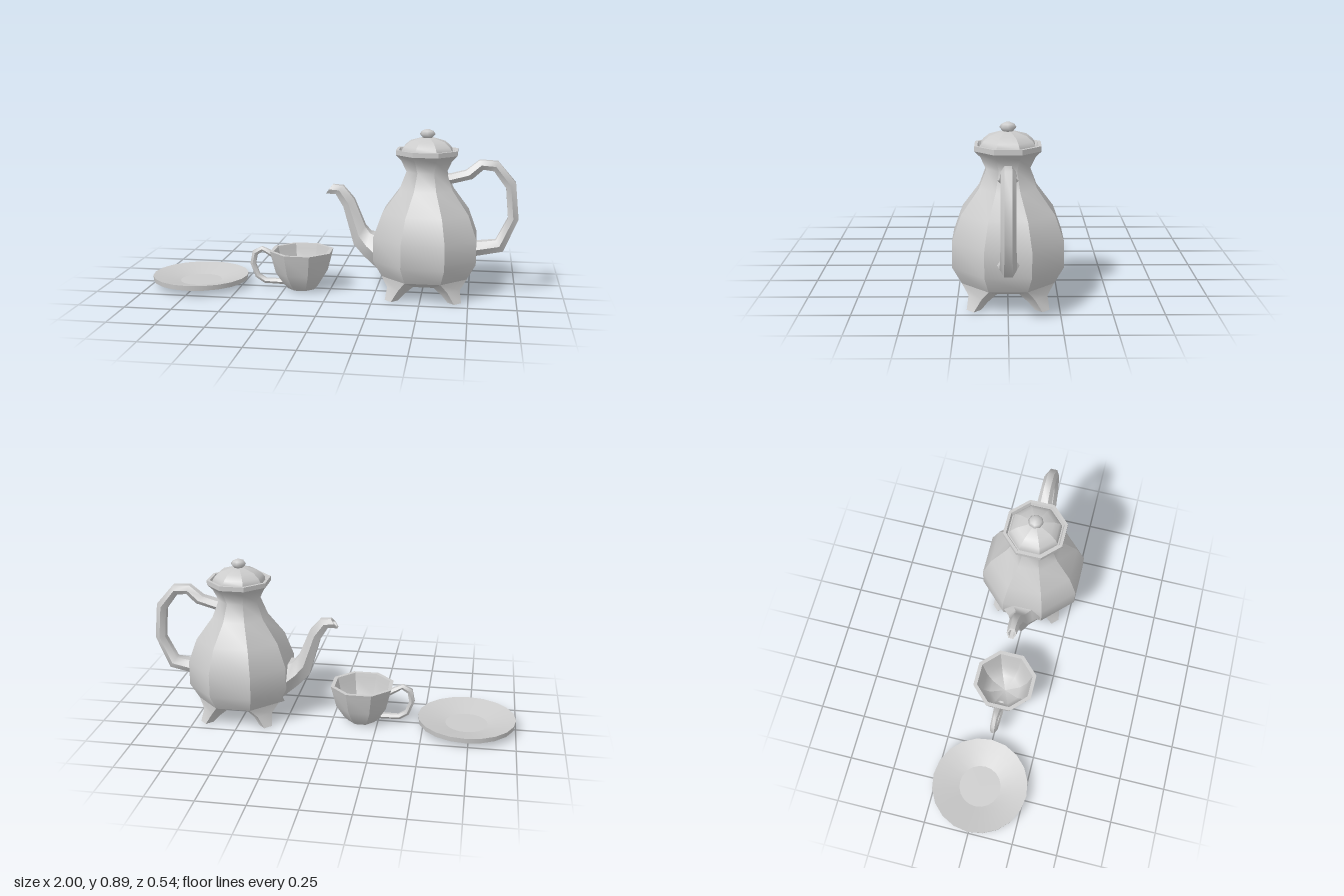
import * as THREE from 'three';
import { mergeGeometries } from 'three/addons/utils/BufferGeometryUtils.js';

const material = new THREE.MeshStandardMaterial({ color: 0xcccccc });

function mesh(name, geometry, parent) {
  const m = new THREE.Mesh(geometry, material);
  m.name = name;
  parent.add(m);
  return m;
}

// Skin over rings of [x, y, z]: smooth along the length, creased between the sides
function loft(rings) {
  const n = rings[0].length, pos = [], index = [];
  for (let j = 0; j < n; j++) {
    const base = pos.length / 3;
    rings.forEach((ring, i) => {
      pos.push(...ring[j], ...ring[(j + 1) % n]);
      if (i === 0) return;
      const a = base + 2 * (i - 1), b = a + 1, c = a + 2, d = a + 3;
      index.push(a, c, d, a, d, b);
    });
  }
  const g = new THREE.BufferGeometry();
  g.setAttribute('position', new THREE.Float32BufferAttribute(pos, 3));
  g.setIndex(index);
  g.computeVertexNormals();
  return g;
}

// Octagonal vessel from [flat radius, height] profiles; each profile starts a new crease
function octagonal(...profiles) {
  const ring = ([r, y]) => Array.from({ length: 8 }, (_, k) => {
    const a = Math.PI / 8 + k * Math.PI / 4, R = r / Math.cos(Math.PI / 8);
    return [R * Math.cos(a), y, R * Math.sin(a)];
  });
  return mergeGeometries(profiles.map(p => loft(p.map(ring))));
}

// Six-sided tube from sections [outer x, outer y, inner x, inner y, half width]
function hexTube(sections) {
  const corners = [[1, -0.5], [1, 0.5], [0, 1], [-1, 0.5], [-1, -0.5], [0, -1]];
  return loft(sections.map(([ux, uy, lx, ly, w]) => corners.map(([e, s]) => [
    (ux + lx) / 2 + e * (ux - lx) / 2, (uy + ly) / 2 + e * (uy - ly) / 2, s * w])));
}

function lathe(points, sides) {
  return new THREE.LatheGeometry(points.map(p => new THREE.Vector2(...p)), sides);
}

function createPot() {
  const pot = new THREE.Group();
  pot.name = 'pot';
  pot.position.x = 0.515;

  mesh('potBody', octagonal(
    [[0, 0.067], [0.13, 0.067]],
    [[0.13, 0.067], [0.225, 0.11]],
    [[0.225, 0.11], [0.27, 0.195], [0.27, 0.325], [0.225, 0.455], [0.14, 0.575],
      [0.105, 0.67], [0.132, 0.73], [0.16, 0.76]],
    [[0.16, 0.76], [0.16, 0.785]],
    [[0.16, 0.785], [0.145, 0.785]],
    [[0.145, 0.785], [0.138, 0.765]],
    [[0.138, 0.765], [0, 0.765]]), pot);

  mesh('lid', octagonal([[0.132, 0.765], [0.13, 0.785], [0.119, 0.803], [0.09, 0.828],
    [0.035, 0.846], [0, 0.848]]), pot);
  mesh('lidKnob', lathe([[0.022, 0.843], [0.028, 0.85], [0.041, 0.866], [0.031, 0.882],
    [0.012, 0.89], [0, 0.89]], 8), pot);

  // Four feet flowing out of the diagonal panels: [outer r, y, half width, inner r, y, half width]
  const footRing = ([ro, yo, wo, ri, yi, wi]) =>
    [[ro, yo, -wo], [ro, yo, wo], [ri, yi, wi], [ri, yi, -wi]];
  const sole = [0.258, 0, 0.025, 0.209, 0, 0.025];
  const foot = mergeGeometries([
    loft([[0.234, 0, 0, 0.234, 0, 0], sole].map(footRing)),
    loft([sole, [0.226, 0.06, 0.045, 0.17, 0.03, 0.03],
      [0.225, 0.11, 0.093, 0.13, 0.067, 0.054]].map(footRing))]);
  for (let k = 0; k < 4; k++) {
    mesh('foot', foot, pot).rotation.y = Math.PI / 4 + k * Math.PI / 2;
  }
  return pot;
}

function createSpoutAndHandle(parent) {
  const tip = [0.013, 0.585, -0.024, 0.535, 0.027];
  const lip = [0.007, 0.578, -0.018, 0.543, 0.019];
  mesh('spout', mergeGeometries([
    hexTube([[0.265, 0.325, 0.295, 0.112, 0.11], [0.245, 0.322, 0.245, 0.155, 0.107],
      [0.22, 0.328, 0.185, 0.203, 0.07], [0.19, 0.365, 0.13, 0.262, 0.05],
      [0.13, 0.51, 0.072, 0.465, 0.037], [0.07, 0.58, 0.03, 0.533, 0.031], tip]),
    hexTube([tip, lip]),
    hexTube([lip, [0.05, 0.567, 0.03, 0.545, 0.013], [0.04, 0.556, 0.04, 0.556, 0]])]), parent);

  mesh('potHandle', hexTube([
    [0.765, 0.22, 0.765, 0.295, 0.053], [0.79, 0.224, 0.79, 0.298, 0.052],
    [0.925, 0.25, 0.885, 0.31, 0.04], [1, 0.425, 0.945, 0.43, 0.035],
    [0.98, 0.62, 0.93, 0.59, 0.035], [0.885, 0.73, 0.865, 0.678, 0.035],
    [0.79, 0.735, 0.81, 0.685, 0.035], [0.72, 0.678, 0.755, 0.635, 0.04],
    [0.645, 0.658, 0.655, 0.61, 0.05], [0.6, 0.65, 0.61, 0.6, 0.05]]), parent);
}

function createCup() {
  const cup = new THREE.Group();
  cup.name = 'cup';
  mesh('cupBowl', octagonal(
    [[0, 0], [0.07, 0]],
    [[0.07, 0], [0.095, 0.027], [0.136, 0.095], [0.16, 0.195]],
    [[0.16, 0.195], [0.165, 0.215]],
    [[0.165, 0.215], [0.145, 0.215]],
    [[0.145, 0.215], [0.139, 0.19], [0.118, 0.1], [0.08, 0.04], [0, 0.025]]), cup).position.x = -0.16;
  mesh('cupHandle', hexTube([
    [-0.305, 0.185, -0.305, 0.155, 0.025], [-0.335, 0.205, -0.33, 0.17, 0.022],
    [-0.383, 0.226, -0.378, 0.2, 0.018], [-0.435, 0.2, -0.41, 0.178, 0.018],
    [-0.449, 0.13, -0.42, 0.128, 0.018], [-0.42, 0.052, -0.398, 0.07, 0.018],
    [-0.37, 0.02, -0.36, 0.046, 0.018], [-0.27, 0.018, -0.275, 0.046, 0.022],
    [-0.235, 0.025, -0.235, 0.05, 0.022]]), cup);
  return cup;
}

function createSaucer() {
  const saucer = new THREE.Group();
  saucer.name = 'saucer';
  saucer.position.x = -0.735;
  mesh('saucerBase', lathe([[0, 0.003], [0.135, 0.003]], 20), saucer);
  mesh('saucerUnderside', lathe([[0.135, 0.003], [0.17, 0.018], [0.262, 0.03]], 20), saucer);
  mesh('saucerRim', lathe([[0.262, 0.03], [0.265, 0.057]], 20), saucer);
  mesh('saucerTop', lathe([[0.265, 0.057], [0.2, 0.042], [0.115, 0.022]], 20), saucer);
  mesh('saucerWell', lathe([[0.115, 0.022], [0, 0.022]], 20), saucer);
  return saucer;
}

export function createModel() {
  const model = new THREE.Group();
  model.name = 'teaSet';
  model.add(createPot(), createCup(), createSaucer());
  createSpoutAndHandle(model);
  return model;
}
